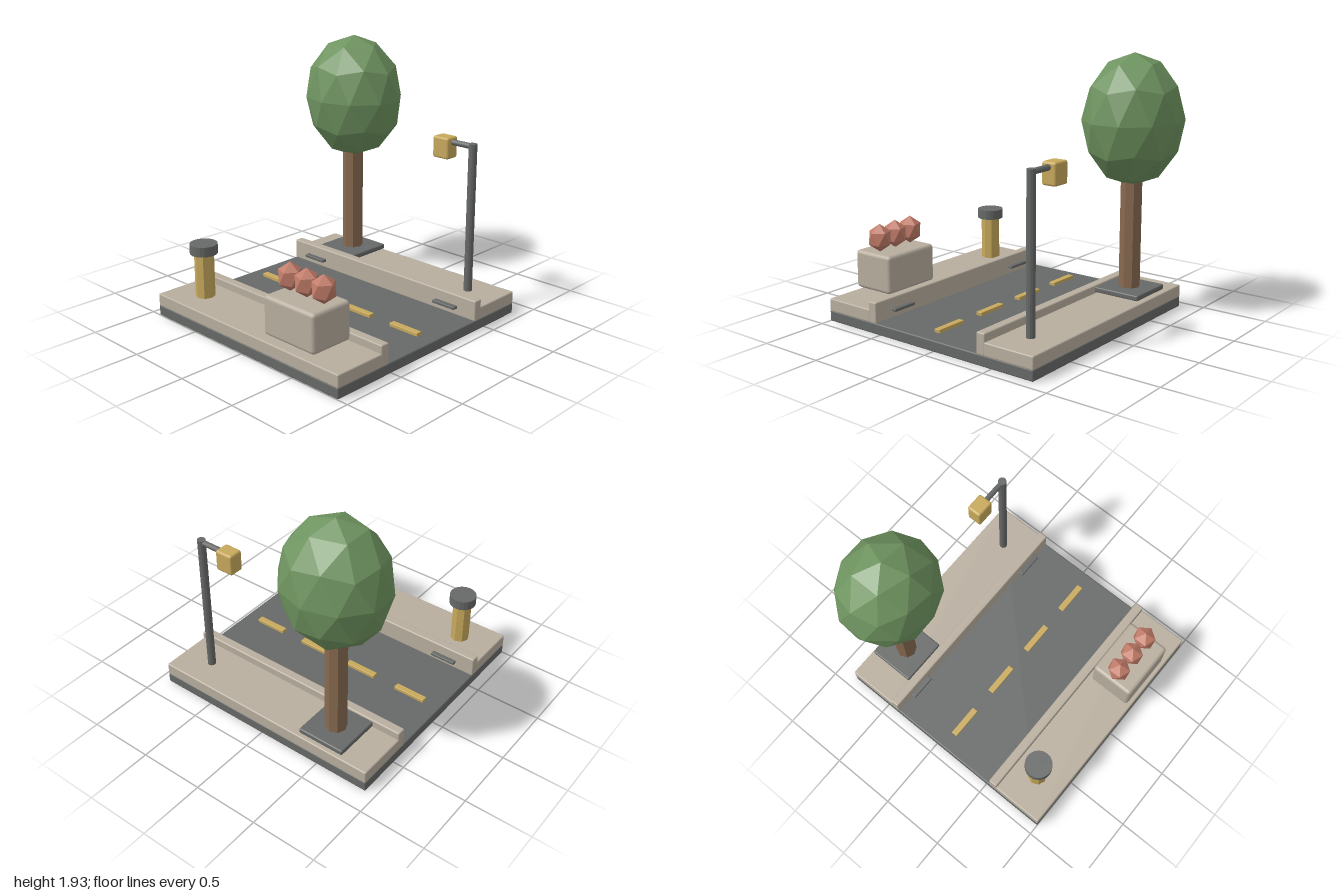
import * as THREE from 'three';
import { RoundedBoxGeometry } from 'three/addons/geometries/RoundedBoxGeometry.js';

export function createModel() {
  const model = new THREE.Group();
  model.name = 'streetCorner';

  const mat = (name, color) => {
    const m = new THREE.MeshStandardMaterial({ color });
    m.name = name;
    return m;
  };
  const asphalt = mat('asphalt grey', 0x666967);
  const concrete = mat('concrete', 0xb8ae9f);
  const yellow = mat('warm yellow', 0xc8a95c);
  const bark = mat('bark brown', 0x886a50);
  const leaf = mat('leaf green', 0x6f9460);
  const clay = mat('flower red', 0xc27c69);

  const add = (name, geometry, material, x, y, z, parent = model) => {
    const mesh = new THREE.Mesh(geometry, material);
    mesh.name = name;
    mesh.position.set(x, y, z);
    parent.add(mesh);
    return mesh;
  };

  // Softened box given by its limits on each axis
  const box = (name, material, [x0, x1], [y0, y1], [z0, z1], bevel = 0.01) =>
    add(name, new RoundedBoxGeometry(x1 - x0, y1 - y0, z1 - z0, 2, bevel), material,
      (x0 + x1) / 2, (y0 + y1) / 2, (z0 + z1) / 2);

  // Faceted upright post
  const post = (name, material, r, sides, y0, y1, x, z) => {
    const g = new THREE.CylinderGeometry(r, r, y1 - y0, sides).toNonIndexed();
    g.computeVertexNormals();
    return add(name, g, material, x, (y0 + y1) / 2, z);
  };

  // Faceted blob with a corner pointing straight up
  const blob = (rx, ry, rz, detail) => {
    const g = new THREE.IcosahedronGeometry(1, detail);
    g.rotateX(-Math.atan2(1 + Math.sqrt(5), 2));
    g.rotateY(Math.PI / 2);
    g.scale(rx, ry, rz);
    g.computeVertexNormals();
    return g;
  };

  // Road, pavements and kerbs
  const wide = [-0.92, 0.92];
  box('roadSlab', asphalt, wide, [0, 0.08], [-0.84, 1]);
  box('frontPavement', concrete, wide, [0.075, 0.17], [0.59, 1]);
  box('backPavement', concrete, wide, [0.075, 0.17], [-0.84, -0.44]);
  box('frontKerb', concrete, wide, [0.075, 0.23], [0.53, 0.6]);
  box('backKerb', concrete, wide, [0.075, 0.23], [-0.45, -0.38]);

  // Kerb drains
  for (const x of [-0.67, 0.66]) {
    box('frontDrain', asphalt, [x - 0.1, x + 0.1], [0.128, 0.15], [0.495, 0.54], 0.005);
    box('backDrain', asphalt, [x - 0.1, x + 0.1], [0.128, 0.15], [-0.39, -0.34], 0.005);
  }

  // Centre line
  for (let i = 0; i < 4; i++) {
    const x = -0.665 + i * 0.443;
    box('laneDash', yellow, [x - 0.127, x + 0.127], [0.075, 0.105], [0.05, 0.098], 0.004);
  }

  // Tree
  box('treePit', asphalt, [-0.705, -0.335], [0.185, 0.225], [-0.82, -0.455]);
  post('trunk', bark, 0.079, 8, 0.17, 1.08, -0.52, -0.637);
  add('crown', blob(0.396, 0.475, 0.357, 1), leaf, -0.517, 1.453, -0.642);
  add('crownTuft', blob(0.2, 0.21, 0.2, 1), leaf, -0.62, 1.61, -0.575);

  // Street lamp
  post('lampPole', asphalt, 0.031, 12, 0.17, 1.285, 0.663, -0.627);
  const arm = new THREE.CylinderGeometry(0.021, 0.021, 0.2, 10);
  arm.rotateZ(Math.PI / 2);
  add('lampArm', arm, asphalt, 0.565, 1.264, -0.627);
  box('lampHead', yellow, [0.34, 0.482], [1.14, 1.3], [-0.684, -0.57], 0.017);

  // Bollard
  post('bollard', yellow, 0.072, 8, 0.17, 0.51, -0.648, 0.78);
  post('bollardCap', asphalt, 0.101, 20, 0.5, 0.573, -0.648, 0.78);

  // Planter with three flowers
  box('planter', concrete, [0.203, 0.677], [0.2, 0.485], [0.63, 0.972], 0.028);
  for (const x of [0.283, 0.44, 0.597]) {
    add('flower', blob(0.089, 0.104, 0.092, 0), clay, x, 0.587, 0.798);
  }

  return model;
}
